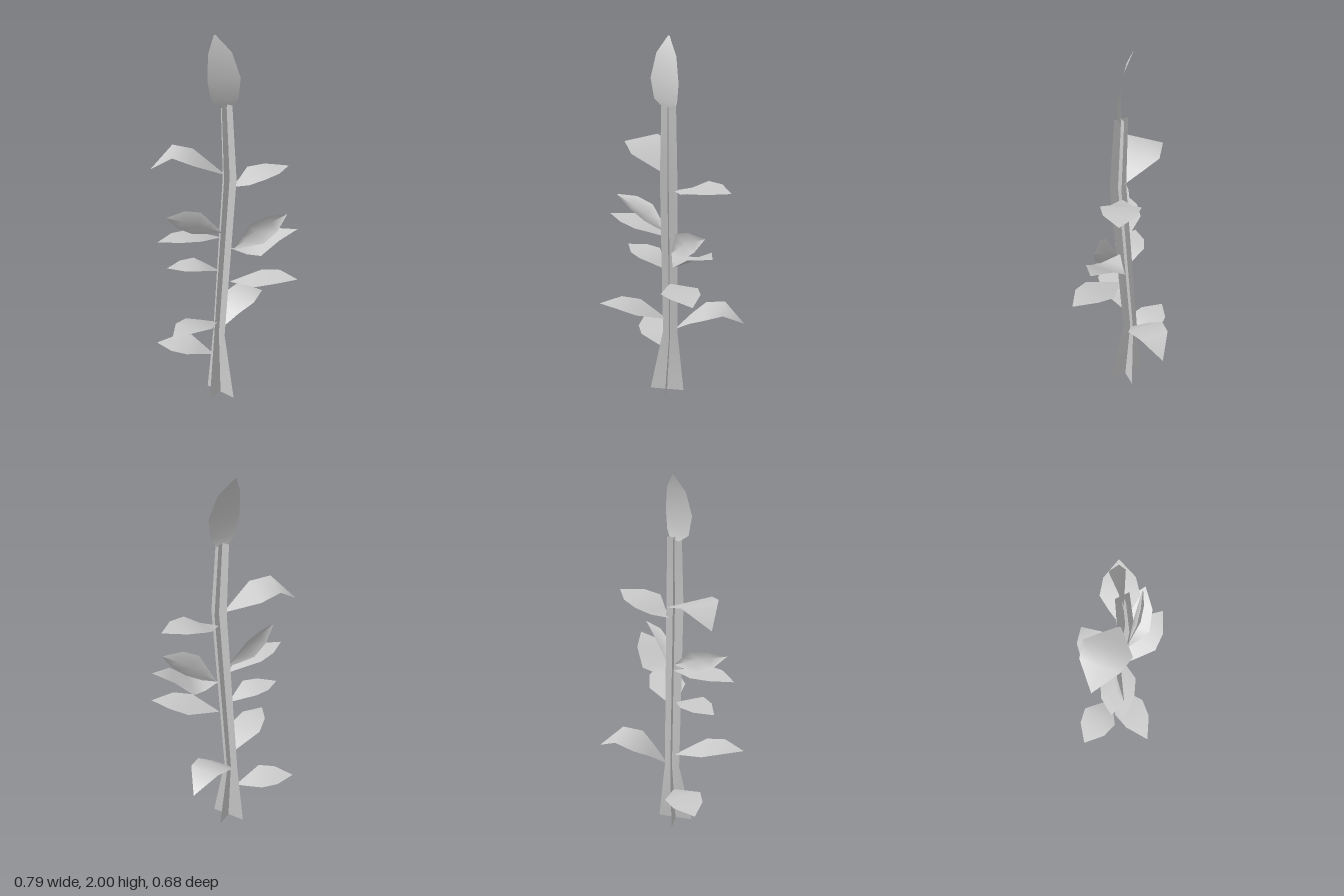
import * as THREE from 'three';

const material = new THREE.MeshStandardMaterial({ color: 0xcccccc, side: THREE.DoubleSide });
const V = (a) => new THREE.Vector3(...a);

// Strip swept along a centre line: each row has a left edge, a midrib and a right edge
function ribbon(name, centres, halfWidths, side, fold = V([0, 0, 0])) {
  const positions = [], index = [];
  centres.forEach((c, i) => {
    for (const s of [-1, 0, 1]) {
      const p = c.clone().addScaledVector(side, s * halfWidths[i]);
      if (s !== 0) p.addScaledVector(fold, halfWidths[i]);
      positions.push(p.x, p.y, p.z);
    }
    if (i === 0) return;
    for (const k of [0, 1]) {
      const a = (i - 1) * 3 + k, b = i * 3 + k;
      index.push(a, a + 1, b, a + 1, b + 1, b);
    }
  });
  const geometry = new THREE.BufferGeometry();
  geometry.setAttribute('position', new THREE.Float32BufferAttribute(positions, 3));
  geometry.setIndex(index);
  geometry.computeVertexNormals();
  const mesh = new THREE.Mesh(geometry, material);
  mesh.name = name;
  return mesh;
}

const ROWS = [0, 0.22, 0.42, 0.7, 1];
const WIDTHS = [0.04, 0.55, 1, 0.8, 0];

// Leaf from [x, z] root to [x, z] tip, with one height per row
function leaf(name, root, tip, heights, halfWidth, upright = false) {
  const centres = ROWS.map((t, i) => V([
    THREE.MathUtils.lerp(root[0], tip[0], t), heights[i],
    THREE.MathUtils.lerp(root[1], tip[1], t)]));
  const along = centres[4].clone().sub(centres[0]).normalize();
  const flat = V([-along.z, 0, along.x]).normalize();
  const side = upright ? flat.clone().cross(along).normalize() : flat;
  const fold = upright ? flat.clone().multiplyScalar(0.5) : undefined;
  return ribbon(name, centres, WIDTHS.map((w) => w * halfWidth), side, fold);
}

export function createModel() {
  const group = new THREE.Group();
  group.name = 'plant';

  // Stem: two crossed strips, flared at the foot
  const stem = new THREE.Group();
  stem.name = 'stem';
  const path = [[-0.025, 0, -0.03], [-0.01, 0.37, -0.052], [-0.008, 1.3, 0.02], [-0.01, 1.675, 0.002]].map(V);
  const thickness = [0.094, 0.04, 0.044, 0.036];
  stem.add(ribbon('stemAcross', path, thickness, V([1, 0, 0])));
  stem.add(ribbon('stemDeep', path, thickness, V([0, 0, 1])));
  group.add(stem);

  // Upright leaf at the tip of the stem
  group.add(ribbon('topLeaf',
    [[-0.01, 1.66, 0.003], [-0.025, 1.7, 0.005], [-0.03, 1.8, 0.004], [-0.025, 1.92, -0.025], [-0.018, 2, -0.063]].map(V),
    [0.03, 0.07, 0.085, 0.06, 0.004], V([0.86, 0, 0.5])));

  // Side leaves, from the foot upwards
  const leaves = [
    ['lowBackLeaf', [-0.03, -0.08], [-0.2, -0.34], [0.235, 0.262, 0.287, 0.29, 0.287], 0.1],
    ['lowLeftLeaf', [0.02, -0.056], [0.393, -0.06], [0.39, 0.46, 0.51, 0.535, 0.45], 0.1],
    ['lowRightLeaf', [-0.03, -0.05], [-0.397, -0.04], [0.45, 0.485, 0.515, 0.537, 0.525], 0.088],
    ['lowFrontLeaf', [0, 0.02], [0.155, 0.34], [0.71, 0.73, 0.748, 0.768, 0.765], 0.1],
    ['middleBackLeaf', [-0.03, -0.03], [-0.26, -0.19], [0.77, 0.8, 0.825, 0.827, 0.825], 0.08],
    ['middleFrontLeaf', [0.01, 0.02], [0.24, 0.27], [0.9, 0.89, 0.9, 0.975, 1.0], 0.095],
    ['middleRightLeaf', [-0.02, -0.03], [-0.35, -0.165], [0.96, 0.985, 1.005, 1.015, 1.015], 0.08],
    ['foldedFrontLeaf', [0.01, 0.03], [0.2, 0.232], [0.9, 0.95, 0.995, 1.045, 1.09], 0.065, true],
    ['foldedRightLeaf', [-0.02, -0.02], [-0.308, -0.14], [0.99, 1.025, 1.06, 1.1, 1.14], 0.06, true],
    ['highLeftLeaf', [0.02, 0.01], [0.315, 0.152], [1.24, 1.255, 1.29, 1.3, 1.3], 0.1],
    ['highBackLeaf', [-0.01, -0.01], [-0.255, -0.285], [1.31, 1.36, 1.405, 1.437, 1.345], 0.125],
  ];
  for (const spec of leaves) group.add(leaf(...spec));
  return group;
}
